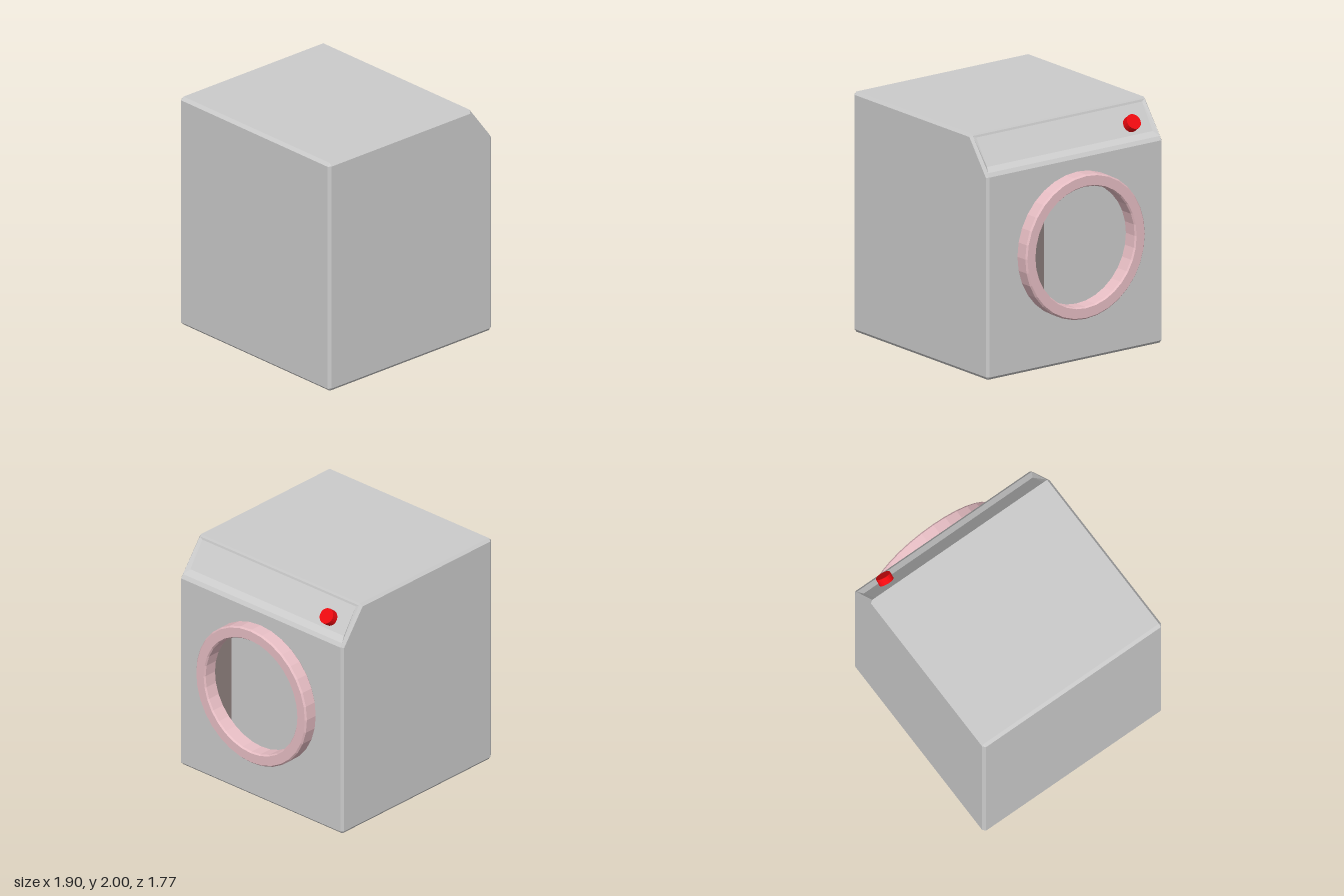
import * as THREE from 'three';

const material = (color) => new THREE.MeshStandardMaterial({ color, flatShading: true });

function addMesh(group, name, geometry, mat) {
  const mesh = new THREE.Mesh(geometry, mat);
  mesh.name = name;
  group.add(mesh);
  return mesh;
}

// Skin matching [x, y] cross-sections stacked along z, with a flat cap on both ends
function loft(sections) {
  const pos = [];
  const tri = (...corners) => corners.forEach((c) => pos.push(...c));
  const rings = sections.map(({ z, pts }) => pts.map(([x, y]) => [x, y, z]));
  const n = rings[0].length;
  for (let k = 0; k < rings.length - 1; k++) {
    for (let i = 0; i < n; i++) {
      const j = (i + 1) % n;
      const a = rings[k][i], b = rings[k][j], c = rings[k + 1][j], d = rings[k + 1][i];
      tri(a, b, c);
      tri(a, c, d);
    }
  }
  const back = rings[0], front = rings[rings.length - 1];
  for (let i = 1; i < n - 1; i++) {
    tri(back[0], back[i + 1], back[i]);
    tri(front[0], front[i], front[i + 1]);
  }
  const geometry = new THREE.BufferGeometry();
  geometry.setAttribute('position', new THREE.Float32BufferAttribute(pos, 3));
  geometry.computeVertexNormals();
  return geometry;
}

// Side profile: bevelled box with a sloped panel; the two floor points sink the panel
const profile = (floorLow, floorHigh) => [
  [-0.925, 0], [0.795, 0], [0.82, 0.025], [0.82, 1.69], [0.8, 1.722],
  floorLow, floorHigh,
  [0.6, 1.985], [0.59, 2], [-0.925, 2], [-0.95, 1.975], [-0.95, 0.025],
];

export function createModel() {
  const model = new THREE.Group();
  model.name = 'washingMachine';

  // Cabinet with bevelled edges and recessed control panel
  const full = profile([0.8, 1.722], [0.6, 1.985]);
  const recessed = profile([0.745, 1.755], [0.605, 1.968]);
  const end = [
    [-0.925, 0.025], [0.795, 0.025], [0.795, 0.025], [0.795, 1.685], [0.78, 1.706],
    [0.78, 1.706], [0.585, 1.967], [0.585, 1.967], [0.579, 1.975],
    [-0.925, 1.975], [-0.925, 1.975], [-0.925, 0.025],
  ];
  const cabinet = loft([
    { z: -0.885, pts: end }, { z: -0.865, pts: full }, { z: -0.835, pts: recessed },
    { z: 0.835, pts: recessed }, { z: 0.865, pts: full }, { z: 0.885, pts: end },
  ]);
  addMesh(model, 'cabinet', cabinet, material(0xcccccc));

  // Door: bevelled ring, with a slightly skewed dark pane that emerges at one side
  const door = new THREE.Group();
  door.name = 'door';
  door.position.set(0.82, 0.985, -0.007);
  model.add(door);

  const ringProfile = [
    [0.5, 0], [0.59, 0], [0.602, 0.012], [0.602, 0.115], [0.59, 0.128],
    [0.51, 0.128], [0.5, 0.115], [0.5, 0],
  ].map(([r, h]) => new THREE.Vector2(r, h));
  const ring = new THREE.LatheGeometry(ringProfile, 32).rotateZ(-Math.PI / 2);
  addMesh(door, 'doorRing', ring, material(0xe7bec4));

  const tilt = 0.03;
  const pane = addMesh(door, 'doorPane', new THREE.CircleGeometry(0.505, 32), material(0x887a78));
  pane.rotation.y = Math.PI / 2 + tilt;
  pane.position.x = -0.323 * Math.tan(tilt);

  // Control knob standing square to the sloped panel
  const knob = addMesh(model, 'knob', new THREE.CylinderGeometry(0.065, 0.065, 0.1, 20), material(0xf00a10));
  const slope = Math.atan2(0.803, 0.596);
  knob.rotation.z = -slope;
  knob.position.set(0.745 - 0.05 * Math.sin(slope), 1.868 - 0.05 * Math.cos(slope), -0.645);

  return model;
}
